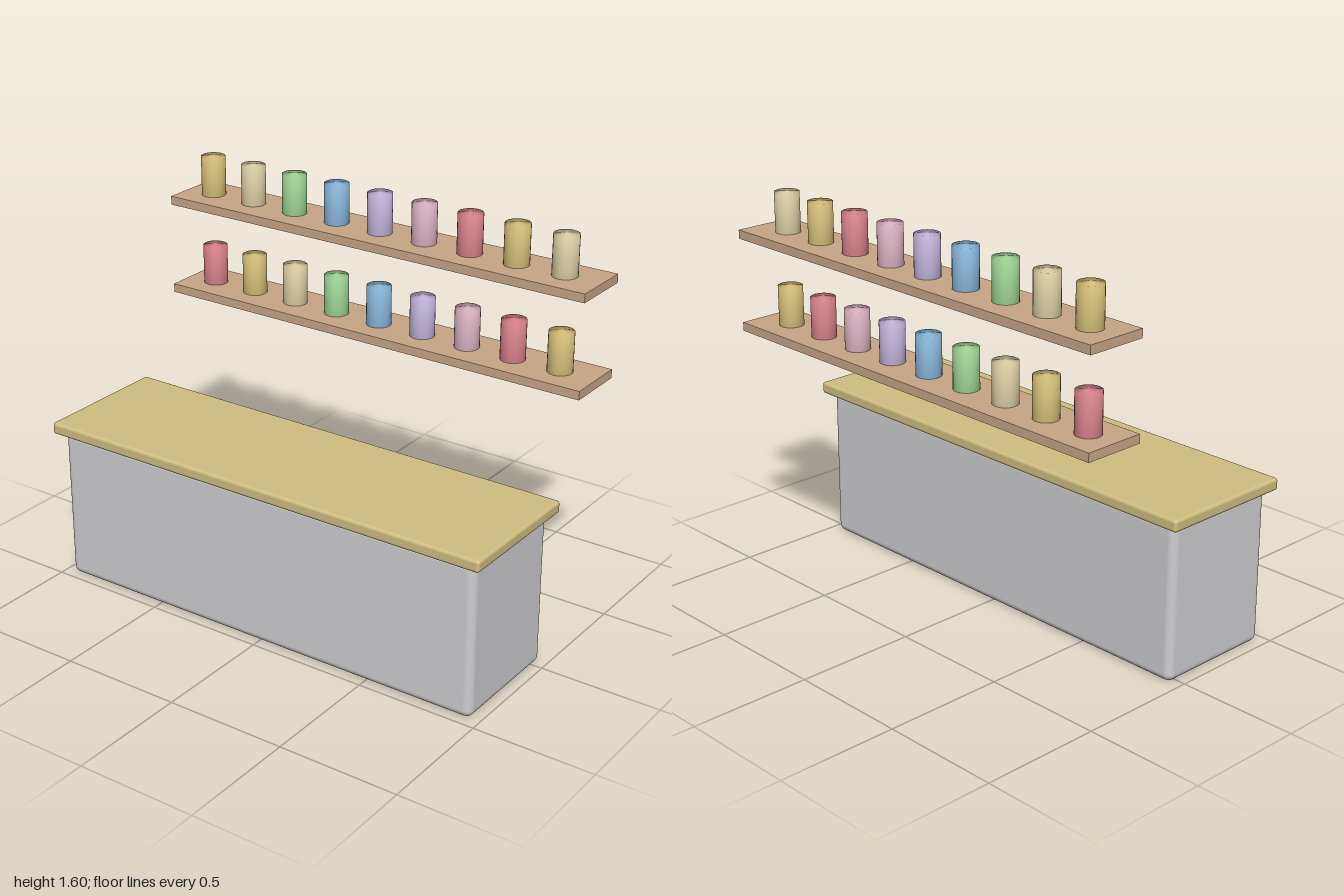
import * as THREE from 'three';
import { mergeVertices } from 'three/addons/utils/BufferGeometryUtils.js';
import { RoundedBoxGeometry } from 'three/addons/geometries/RoundedBoxGeometry.js';

const mat = (name, color) => {
  const m = new THREE.MeshStandardMaterial({ color });
  m.name = name;
  return m;
};

// Closed cylinder whose normals blend over the rims, for a soft sweet-jar look
function softCylinder(radius, height) {
  const g = new THREE.CylinderGeometry(radius, radius, height, 24);
  g.deleteAttribute('normal');
  g.deleteAttribute('uv');
  const merged = mergeVertices(g, 1e-4);
  merged.computeVertexNormals();
  return merged;
}

export function createModel() {
  const model = new THREE.Group();
  model.name = 'shopCounter';

  const grey = mat('counterGrey', 0xcfcfd2);
  const worktop = mat('worktopGold', 0xd0be80);
  const wood = mat('shelfWood', 0xc9a687);
  const jarColours = [
    mat('jarRed', 0xe08890),
    mat('jarGold', 0xdcc67e),
    mat('jarCream', 0xe2d6aa),
    mat('jarGreen', 0xa4dc9a),
    mat('jarBlue', 0x8ebde2),
    mat('jarLavender', 0xc8bae2),
    mat('jarPink', 0xe2b8c8),
  ];

  const add = (parent, name, geometry, material, x, y, z) => {
    const mesh = new THREE.Mesh(geometry, material);
    mesh.name = name;
    mesh.position.set(x, y, z);
    parent.add(mesh);
  };

  // Counter: rounded body under an overhanging worktop
  add(model, 'counterBody', new RoundedBoxGeometry(1.93, 0.645, 0.516, 4, 0.032), grey, 0, 0.3225, 0.211);
  add(model, 'worktop', new RoundedBoxGeometry(2, 0.05, 0.58, 3, 0.013), worktop, 0, 0.66, 0.21);

  // Two floating shelves, each with a row of nine jars in cycling colours
  const boardGeo = new THREE.BoxGeometry(1.93, 0.036, 0.255);
  const jarGeo = softCylinder(0.0505, 0.165);
  [1.02, 1.405].forEach((base, level) => {
    const shelf = new THREE.Group();
    shelf.name = level ? 'upperShelf' : 'lowerShelf';
    shelf.position.y = base;
    add(shelf, 'shelfBoard', boardGeo, wood, 0, 0.018, -0.3725);
    for (let i = 0; i < 9; i++) {
      add(shelf, 'jar', jarGeo, jarColours[(i + level) % 7], -0.84 + i * 0.2064, 0.1165, -0.3725);
    }
    model.add(shelf);
  });

  return model;
}
